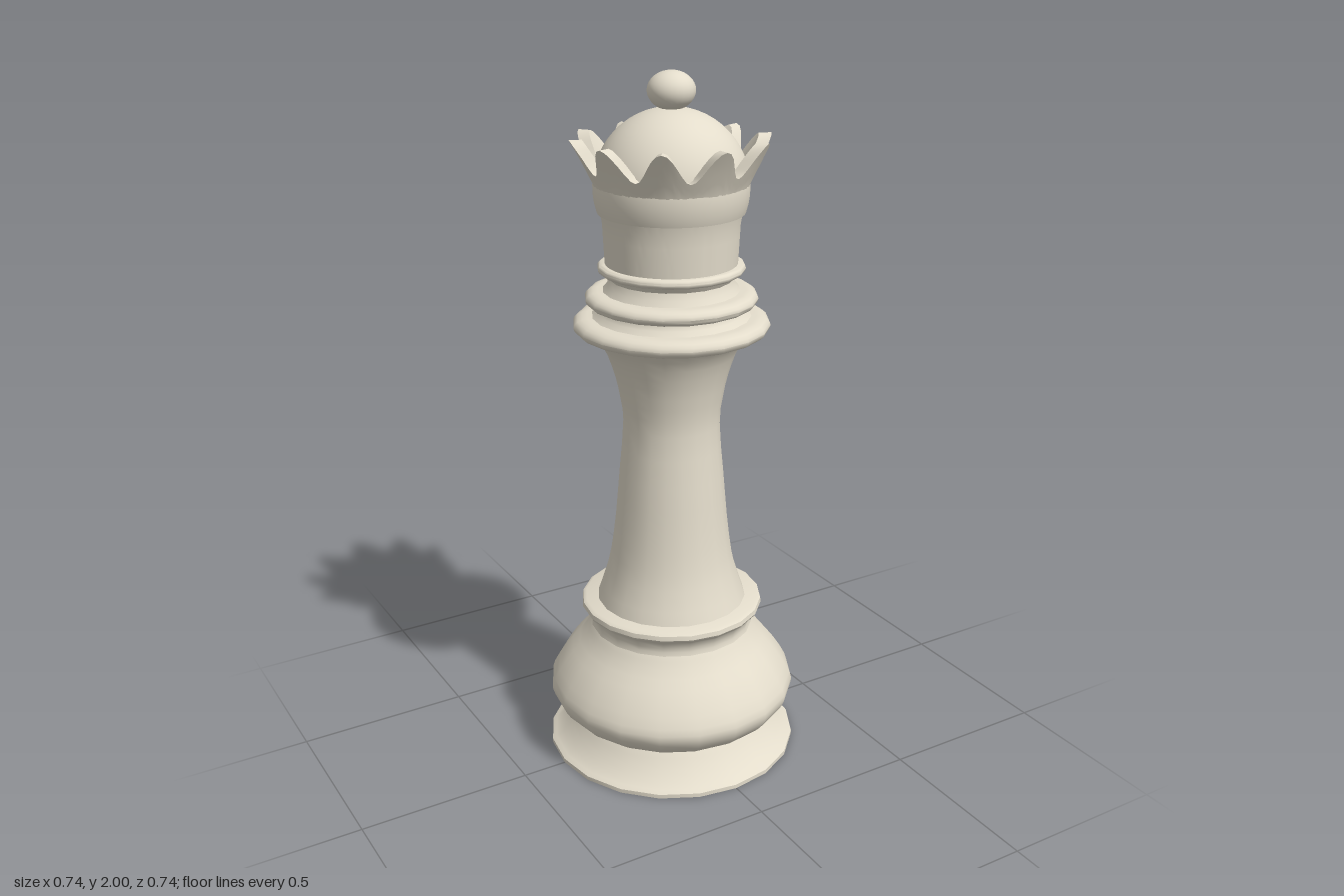
import * as THREE from 'three';
import { toCreasedNormals } from 'three/addons/utils/BufferGeometryUtils.js';

const material = new THREE.MeshStandardMaterial({ color: 0xe3dccb });
const SIDES = 20;

function part(name, geometry, parent) {
  const mesh = new THREE.Mesh(geometry, material);
  mesh.name = name;
  parent.add(mesh);
  return mesh;
}

// Turned solid from [radius, height] pairs, listed from bottom to top
function turned(profile, sides = SIDES) {
  const points = profile.map(([r, y]) => new THREE.Vector2(r, y));
  return toCreasedNormals(new THREE.LatheGeometry(points, sides), 0.65);
}

// Smooth run of profile points through a few controls
function smooth(controls, steps) {
  const curve = new THREE.SplineCurve(controls.map(([r, y]) => new THREE.Vector2(r, y)));
  return curve.getPoints(steps).map((p) => [p.x, p.y]);
}

// Rounded bead profile: half ellipse bulging outward
function bead(radius, y, half, depth) {
  const out = [[0.1, y - half]];
  for (let i = 0; i <= 8; i++) {
    const a = -Math.PI / 2 + (i / 8) * Math.PI;
    out.push([radius - depth + depth * Math.cos(a), y + half * Math.sin(a)]);
  }
  out.push([0.1, y + half]);
  return out;
}

// Outer crown radius at a given height
const crownLine = [[0.182, 1.48], [0.188, 1.6], [0.208, 1.7], [0.23, 1.745], [0.25, 1.785], [0.275, 1.828]];
function crownRadius(y) {
  for (let i = 1; i < crownLine.length; i++) {
    const [r0, y0] = crownLine[i - 1];
    const [r1, y1] = crownLine[i];
    if (y <= y1 || i === crownLine.length - 1) return r0 + ((r1 - r0) * (y - y0)) / (y1 - y0);
  }
}

// Flared crown wall whose rim rises and falls in ten points
function crownGeometry() {
  const top = 1.828, fixed = 1.62, wall = 0.035;
  const profile = [];
  for (let i = 0; i <= 12; i++) {
    const y = 1.48 + ((top - 1.48) * i) / 12;
    profile.push(new THREE.Vector2(crownRadius(y), y));
  }
  for (let i = 0; i <= 8; i++) {
    const y = top - ((top - fixed) * i) / 8;
    profile.push(new THREE.Vector2(crownRadius(y) - wall, y));
  }
  const geometry = new THREE.LatheGeometry(profile, 120);
  const pos = geometry.attributes.position;
  for (let i = 0; i < pos.count; i++) {
    const x = pos.getX(i), y = pos.getY(i), z = pos.getZ(i);
    if (y <= fixed) continue;
    const angle = Math.atan2(x, z);
    const rim = 1.786 + 0.042 * Math.cos(10 * angle);
    const newY = fixed + ((y - fixed) * (rim - fixed)) / (top - fixed);
    const r = Math.hypot(x, z) - crownRadius(y) + crownRadius(newY);
    pos.setXYZ(i, r * Math.sin(angle), newY, r * Math.cos(angle));
  }
  return toCreasedNormals(geometry, 0.7);
}

export function createModel() {
  const model = new THREE.Group();
  model.name = 'chessQueen';

  // Foot and bulging base
  part('foot', turned([
    [0, 0], [0.37, 0], [0.37, 0.012], [0.358, 0.02],
    ...smooth([[0.35, 0.025], [0.315, 0.06], [0.285, 0.105]], 4), [0, 0.105],
  ]), model);
  part('baseBulge', turned([
    [0.2, 0.1],
    ...smooth([[0.288, 0.1], [0.335, 0.135], [0.363, 0.18], [0.358, 0.22], [0.315, 0.29], [0.265, 0.35], [0.24, 0.39]], 14),
  ]), model);
  part('baseRim', turned([
    [0.24, 0.385],
    ...smooth([[0.235, 0.4], [0.242, 0.43], [0.262, 0.447]], 4),
    [0.267, 0.455], [0.265, 0.468], [0.255, 0.474], [0.1, 0.474],
  ]), model);

  // Waisted column, flaring at both ends
  part('column', turned(smooth([
    [0.22, 0.47], [0.185, 0.58], [0.166, 0.7], [0.152, 0.85], [0.138, 1.02],
    [0.148, 1.11], [0.164, 1.18], [0.19, 1.25], [0.225, 1.295],
  ], 18)), model);

  // Collar: three beads over a tapering neck
  const collar = new THREE.Group();
  collar.name = 'collar';
  model.add(collar);
  part('lowerBead', turned(bead(0.275, 1.314, 0.025, 0.04)), collar);
  part('middleBead', turned(bead(0.24, 1.389, 0.022, 0.035)), collar);
  part('upperBead', turned(bead(0.204, 1.474, 0.013, 0.015)), collar);
  part('neck', turned([
    [0.235, 1.33], [0.205, 1.35], [0.195, 1.375], [0.2, 1.4],
    [0.178, 1.425], [0.172, 1.445], [0.185, 1.465],
  ]), collar);

  // Crown, dome and ball
  part('crown', crownGeometry(), model);
  const dome = part('dome', new THREE.SphereGeometry(0.212, 40, 16, 0, Math.PI * 2, 0, Math.PI * 0.6), model);
  dome.position.y = 1.693;
  const ball = part('ball', new THREE.SphereGeometry(0.065, 24, 16), model);
  ball.scale.y = 0.8;
  ball.position.y = 1.948;

  return model;
}
